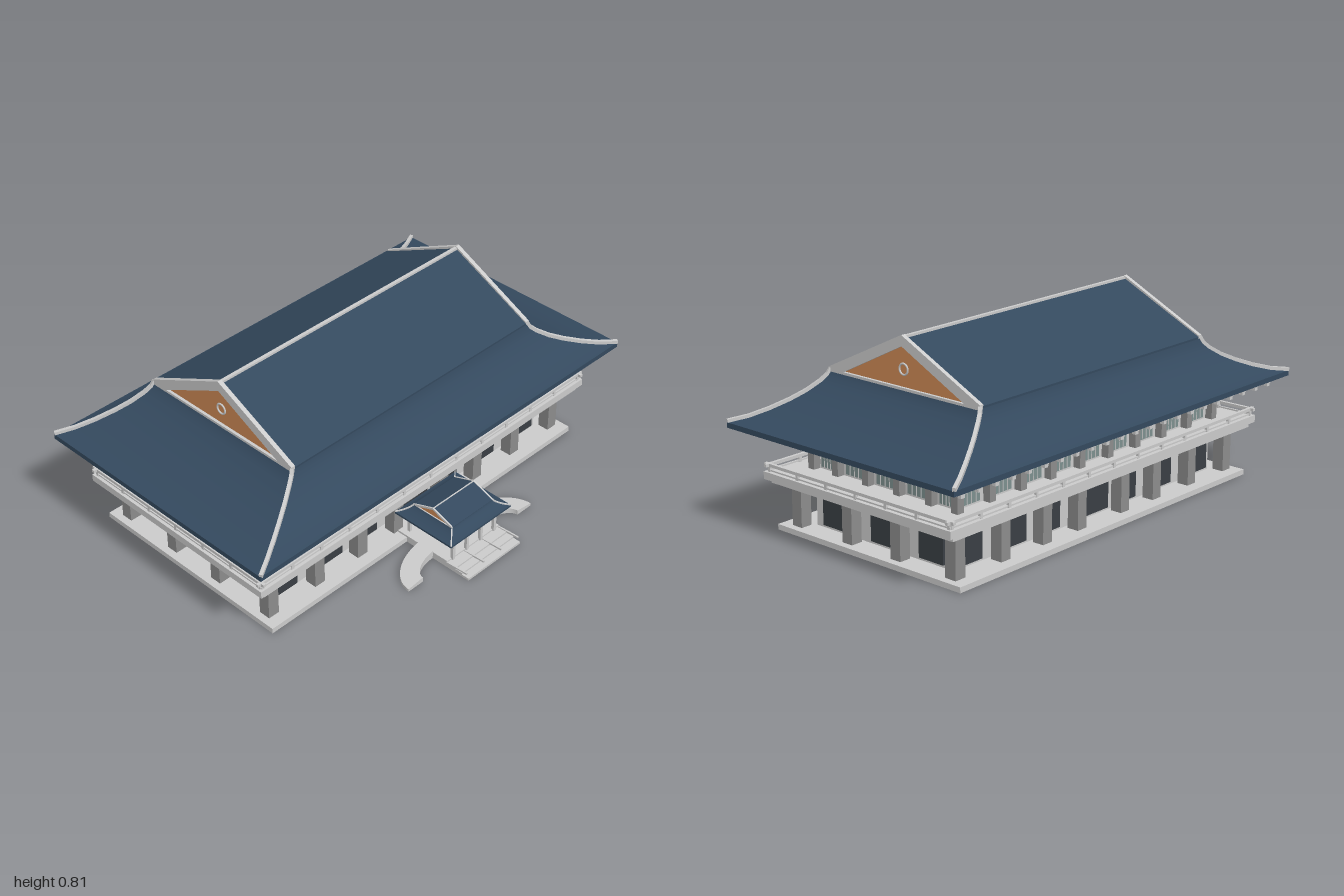
import * as THREE from 'three';
import { mergeGeometries } from 'three/addons/utils/BufferGeometryUtils.js';

const material = (color, extra = {}) => new THREE.MeshStandardMaterial({ color, ...extra });
const GREY = material(0xcccccc);
const PILLAR = material(0x8c8c8c);
const TILE = material(0x34495e, { side: THREE.DoubleSide });
const GABLE = material(0xcf8a55);
const DARK = material(0x3a3f44);
const GLASS = material(0x7d908f);
const CZ = -0.105; // centre of the main building in z

function add(parent, name, geometry, mat, x = 0, y = 0, z = 0) {
  const mesh = new THREE.Mesh(geometry, mat);
  mesh.name = name;
  mesh.position.set(x, y, z);
  parent.add(mesh);
  return mesh;
}

// box given by its bottom and top heights
function block(parent, name, w, d, y0, y1, x, z, mat = GREY) {
  return add(parent, name, new THREE.BoxGeometry(w, y1 - y0, d), mat, x, (y0 + y1) / 2, z);
}

// square bar between two points
function bar(parent, name, a, b, size, mat = GREY) {
  const mesh = add(parent, name, new THREE.BoxGeometry(size, size, a.distanceTo(b) + size * 0.3), mat);
  mesh.position.copy(a).lerp(b, 0.5);
  mesh.lookAt(b);
  return mesh;
}

function triangle(half, y0, y1, y2) {
  return [[-half, y0], [half, y0], [half, y1], [0, y2], [-half, y1]].map(p => new THREE.Vector2(...p));
}

// extrude an outline in (z, y) along x, centred on x
function extrudeX(outline, length, hole) {
  const shape = new THREE.Shape(outline);
  if (hole) shape.holes.push(new THREE.Path(hole));
  return new THREE.ExtrudeGeometry(shape, { depth: length, bevelEnabled: false })
    .translate(0, 0, -length / 2).rotateY(Math.PI / 2);
}

// hip-and-gable roof: concave skirt, gabled top, pale ridges
const CURVE = [[0, 0], [0.2, 0.07], [0.4, 0.2], [0.6, 0.37], [0.76, 0.54], [0.9, 0.74], [0.97, 0.88], [1, 1]];
function makeRoof({ ox, oz, ix, iz, eave, lip, shoulder, ridge, trim }) {
  const roof = new THREE.Group();
  const rings = CURVE.map(([t, h]) => [ox + (ix - ox) * t, lip + (shoulder - lip) * h, oz + (iz - oz) * t]);
  const corners = [[1, 1], [1, -1], [-1, -1], [-1, 1]];
  corners.forEach((c, i) => {
    const n = corners[(i + 1) % 4];
    const positions = [], index = [];
    rings.forEach(([x, y, z], k) => {
      positions.push(c[0] * x, y, c[1] * z, n[0] * x, y, n[1] * z);
      if (k) {
        const j = 2 * k;
        index.push(j - 2, j - 1, j, j - 1, j + 1, j);
      }
    });
    const g = new THREE.BufferGeometry();
    g.setAttribute('position', new THREE.Float32BufferAttribute(positions, 3));
    g.setIndex(index);
    g.computeVertexNormals();
    add(roof, 'roofSkirt', g, TILE);
    // hip ridge following the curve
    const pts = rings.map(([x, y, z]) => new THREE.Vector3(c[0] * x * 0.997, y + trim * 0.4, c[1] * z * 0.997));
    for (let k = 1; k < pts.length; k++) bar(roof, 'hipRidge', pts[k - 1], pts[k], trim);
  });
  block(roof, 'eaveSlab', ox * 2, oz * 2, eave, lip, 0, 0, TILE);

  // gabled top with framed triangular ends
  const rise = ridge - shoulder;
  const base = shoulder - rise * 0.03;
  add(roof, 'upperRoof', extrudeX(triangle(iz, base, shoulder + rise * 0.04, ridge - rise * 0.05), ix * 2 - trim * 2), TILE);
  const panel = triangle(iz * 0.82, shoulder, shoulder + 0.001, ridge - rise * 0.2);
  add(roof, 'gablePanels', extrudeX(panel, ix * 2 - trim * 1.2), GABLE);
  const inner = triangle(iz * 0.8, shoulder + rise * 0.02, shoulder + rise * 0.025, ridge - rise * 0.21);
  for (const s of [-1, 1]) {
    add(roof, 'gableFrame', extrudeX(triangle(iz, base, shoulder + rise * 0.07, ridge), trim * 1.3, inner),
      GREY, s * (ix - trim * 0.4));
  }
  block(roof, 'mainRidge', ix * 2, trim, ridge - rise * 0.08, ridge - rise * 0.02, 0, 0);
  return roof;
}

// run a callback for each of the four faces, in a group turned to face outward
function eachFace(parent, name, fn) {
  for (let i = 0; i < 4; i++) {
    const face = new THREE.Group();
    face.name = name;
    face.rotation.y = i * Math.PI / 2;
    parent.add(face);
    fn(face, i % 2 === 0, i);
  }
}

function lowerFloor(b) {
  block(b, 'baseSlab', 1.71, 0.944, 0, 0.022, 0, 0);
  block(b, 'lowerWall', 1.52, 0.71, 0.022, 0.21, 0, 0);
  eachFace(b, 'lowerFace', (f, long) => {
    const dist = long ? 0.397 : 0.8;
    const columns = long ? [-0.8, -0.56, -0.33, -0.13, 0.13, 0.33, 0.56] : [-0.397, -0.125, 0.125];
    for (const x of columns) {
      const corner = x === columns[0];
      if (corner && !long) continue;
      block(f, 'lowerColumn', 0.05, 0.05, 0.022, 0.205, x, dist, PILLAR);
      if (corner) block(f, 'lowerColumn', 0.05, 0.05, 0.022, 0.205, -x, dist, PILLAR);
    }
    const windows = long
      ? [[-0.68, 0.112], [-0.44, 0.112], [-0.23, 0.075], [0, 0.19], [0.23, 0.075], [0.44, 0.112], [0.68, 0.112]]
      : [[-0.25, 0.12], [0, 0.11], [0.25, 0.12]];
    for (const [x, w] of windows) block(f, 'lowerWindow', w, 0.014, 0.035, 0.177, x, long ? 0.359 : 0.764, DARK);
  });
}

function balcony(b) {
  block(b, 'balconyBeam', 1.77, 0.935, 0.197, 0.22, 0, 0);
  block(b, 'balconySlab', 1.82, 0.96, 0.215, 0.245, 0, 0);
  eachFace(b, 'railing', (f, long) => {
    const half = long ? 0.9 : 0.47, dist = long ? 0.465 : 0.895;
    block(f, 'topRail', half * 2 + 0.03, 0.013, 0.265, 0.277, 0, dist);
    block(f, 'lowRail', half * 2, 0.008, 0.248, 0.254, 0, dist);
    const n = long ? 12 : 6;
    for (let i = 0; i <= n; i++) {
      block(f, 'railPost', 0.012, 0.012, 0.24, 0.272, -half + 0.01 + (2 * half - 0.02) * i / n, dist);
    }
  });
}

function upperFloor(b) {
  block(b, 'upperWall', 1.48, 0.7, 0.245, 0.42, 0, 0);
  eachFace(b, 'upperFace', (f, long) => {
    const columns = long ? Array.from({ length: 10 }, (_, i) => -0.756 + i * 0.168) : [-0.24, -0.08, 0.08, 0.24];
    for (const x of columns) block(f, 'upperColumn', 0.032, 0.032, 0.245, 0.42, x, long ? 0.368 : 0.755, PILLAR);
    const bays = long ? Array.from({ length: 9 }, (_, i) => [(i - 4) * 0.168, 0.09])
      : [[-0.305, 0.065], [-0.16, 0.09], [0, 0.09], [0.16, 0.09], [0.305, 0.065]];
    const z = long ? 0.352 : 0.742;
    for (const [x, w] of bays) {
      block(f, 'upperWindow', w, 0.01, 0.255, 0.335, x, z, GLASS);
      for (const k of [-1, 0, 1]) block(f, 'mullion', 0.003, 0.014, 0.255, 0.335, x + k * w / 4, z);
      block(f, 'crossMullion', w, 0.014, 0.305, 0.308, x, z);
      block(f, 'lintel', w + 0.02, 0.022, 0.35, 0.364, x, z);
    }
    block(f, 'tieBeam', long ? 1.52 : 0.74, 0.02, 0.385, 0.415, 0, long ? 0.362 : 0.75);
  });
}

// rows of stepped bracket arms with small bearing blocks under the eaves
function brackets(b) {
  eachFace(b, 'eaveBrackets', (f, long) => {
    const start = long ? 0.36 : 0.745, reach = 0.185;
    const half = long ? 0.91 : 0.5, n = long ? 21 : 12;
    const parts = [];
    const put = (w, h, d, x, y, z) => parts.push(new THREE.BoxGeometry(w, h, d).translate(x, y, z));
    for (let i = 0; i <= n; i++) {
      const x = -half + 2 * half * i / n;
      put(0.012, 0.014, reach, x, 0.402, start + reach / 2);
      for (let k = 1; k <= 3; k++) {
        const z = start + reach * (k / 3 - 0.08);
        put(0.06, 0.01, 0.012, x, 0.398, z);
        put(0.018, 0.018, 0.018, x, 0.389, z);
        for (const s of [-1, 1]) put(0.017, 0.017, 0.019, x + s * 0.024, 0.407, z);
      }
    }
    add(f, 'bracketArms', mergeGeometries(parts), GREY);
  });
}

function porch() {
  const p = new THREE.Group();
  p.name = 'entrancePorch';
  p.position.set(0.015, 0, 0.47);
  block(p, 'porchFloor', 0.3, 0.26, 0, 0.03, 0, -0.02);
  for (let i = 0; i < 3; i++) block(p, 'step', 0.3, 0.045, 0, 0.024 - i * 0.007, 0, 0.132 + i * 0.033);
  for (const x of [-0.148, -0.05, 0.05, 0.148]) {
    bar(p, 'stepRail', new THREE.Vector3(x, 0.033, 0.11), new THREE.Vector3(x, 0.016, 0.208), 0.007);
    block(p, 'frontPost', 0.013, 0.013, 0.02, 0.135, x * 0.8, 0.11);
    if (Math.abs(x) > 0.1) block(p, 'backPost', 0.013, 0.013, 0.02, 0.135, x * 0.8, -0.118);
  }
  block(p, 'porchCeiling', 0.27, 0.25, 0.122, 0.135, 0, 0);
  const roof = makeRoof({ ox: 0.173, oz: 0.147, ix: 0.118, iz: 0.1, eave: 0.132, lip: 0.14, shoulder: 0.172, ridge: 0.212, trim: 0.005 });
  roof.name = 'porchRoof';
  p.add(roof);

  // curved side ramps, rising toward the porch
  for (const s of [-1, 1]) {
    const shape = new THREE.Shape();
    shape.absellipse(0, 0, 0.205, 0.14, 0, Math.PI / 2, false);
    shape.lineTo(0, 0.065);
    shape.absellipse(0, 0, 0.125, 0.065, Math.PI / 2, 0, true);
    const g = new THREE.ExtrudeGeometry(shape, { depth: 0.03, bevelEnabled: false, curveSegments: 16 }).rotateX(-Math.PI / 2);
    const pos = g.attributes.position;
    for (let i = 0; i < pos.count; i++) {
      if (pos.getY(i) > 0.01) pos.setY(i, 0.036 - 0.024 * pos.getX(i) / 0.205);
    }
    g.computeVertexNormals();
    if (s < 0) g.rotateZ(Math.PI).translate(0, 0.036, 0);
    if (s < 0) { // turn upright again by mirroring the heights
      for (let i = 0; i < pos.count; i++) pos.setY(i, pos.getY(i) > 0.03599 ? 0 : 0.036 - pos.getY(i));
      for (let i = 0; i < pos.count; i += 3) { // restore the winding
        const a = new THREE.Vector3().fromBufferAttribute(pos, i);
        const c = new THREE.Vector3().fromBufferAttribute(pos, i + 2);
        pos.setXYZ(i, c.x, c.y, c.z);
        pos.setXYZ(i + 2, a.x, a.y, a.z);
      }
      g.computeVertexNormals();
    }
    add(p, 'curvedRamp', g, GREY, s * 0.15, 0, 0.1);
  }
  return p;
}

export function createModel() {
  const model = new THREE.Group();
  model.name = 'hall';
  const b = new THREE.Group();
  b.name = 'mainBuilding';
  b.position.z = CZ;
  model.add(b);
  lowerFloor(b);
  balcony(b);
  upperFloor(b);
  brackets(b);
  const roof = makeRoof({ ox: 0.995, oz: 0.578, ix: 0.65, iz: 0.382, eave: 0.415, lip: 0.436, shoulder: 0.604, ridge: 0.805, trim: 0.014 });
  roof.name = 'mainRoof';
  b.add(roof);
  for (const s of [-1, 1]) {
    add(roof, 'gableRing', new THREE.TorusGeometry(0.021, 0.004, 8, 24).rotateY(Math.PI / 2), GREY, s * 0.643, 0.675, 0);
  }
  model.add(porch());
  return model;
}
